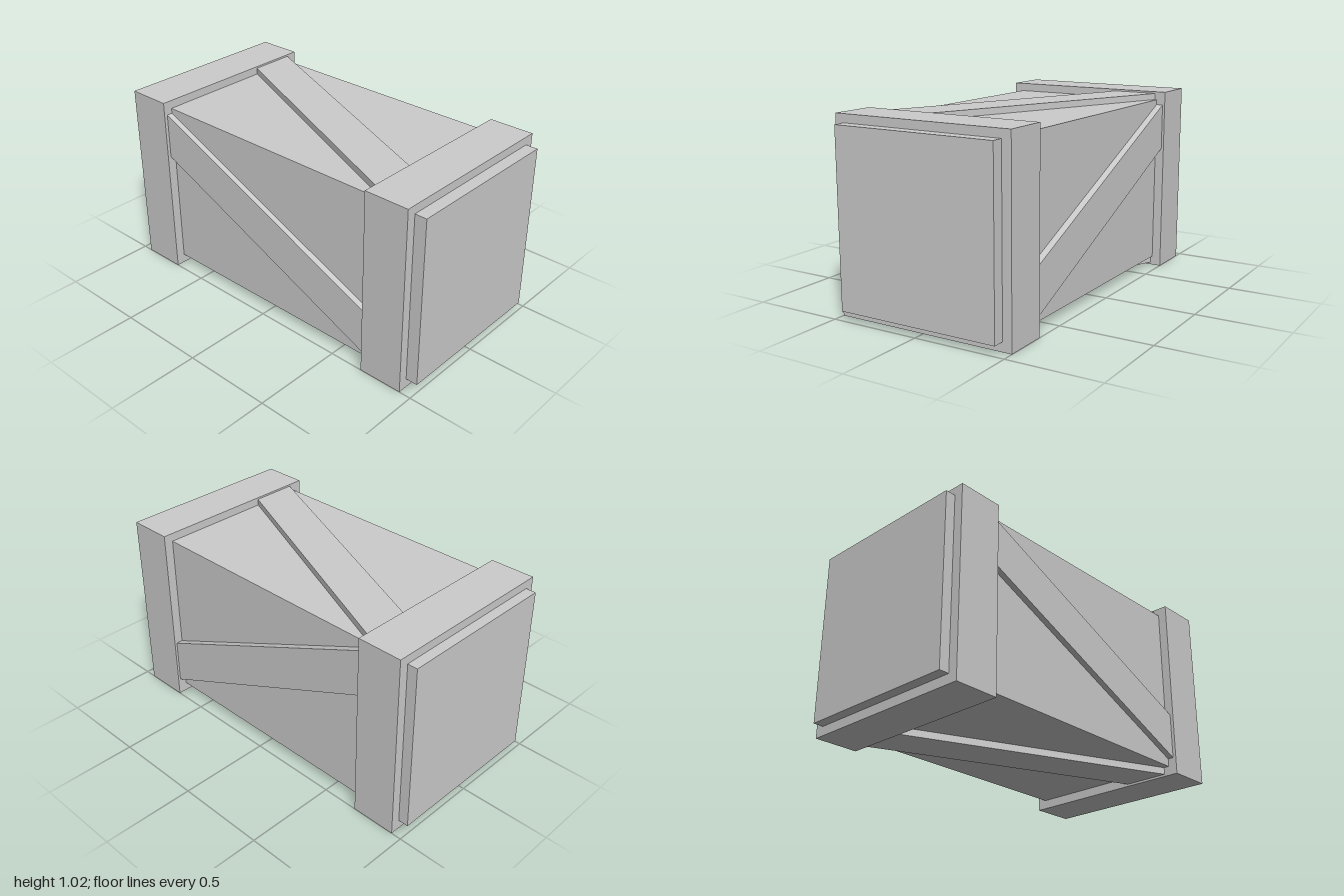
import * as THREE from 'three';

const MID = 0.5125; // height of the crate's centre

export function createModel() {
  const crate = new THREE.Group();
  crate.name = 'crate';
  const grey = new THREE.MeshStandardMaterial({ color: 0xcccccc });
  grey.name = 'light grey';

  function add(name, geometry, x, y, z) {
    const mesh = new THREE.Mesh(geometry, grey);
    mesh.name = name;
    mesh.position.set(x, y, z);
    crate.add(mesh);
    return mesh;
  }

  // Main body
  add('body', new THREE.BoxGeometry(2, 0.93, 0.9), 0, 0.515, 0);

  // Raised bands around both ends
  add('rightBand', new THREE.BoxGeometry(0.245, 1.025, 1), 0.8125, MID, 0);
  add('leftBand', new THREE.BoxGeometry(0.245, 1.025, 1), -0.8225, MID, 0);

  // Diagonal brace outline; its ends are buried in the bands
  const lineY = (x) => 0.133 - 0.437 * x;
  const end = 0.8;
  const outline = new THREE.Shape([
    [-end, lineY(-end) - 0.251],
    [end, lineY(end) - 0.251],
    [end, lineY(end)],
    [-end, lineY(-end)],
  ].map(([x, y]) => new THREE.Vector2(x, y)));
  const depth = 0.06;
  const brace = new THREE.ExtrudeGeometry(outline, { depth, bevelEnabled: false });
  brace.translate(0, 0, -depth / 2);
  const flatBrace = brace.clone().rotateX(-Math.PI / 2);

  // One brace on each long side
  add('frontBrace', brace, 0, MID, 0.452);
  add('backBrace', brace, 0, MID, -0.457);
  add('topBrace', flatBrace, 0, 0.985, 0);
  add('bottomBrace', flatBrace, 0, 0.042, 0);

  return crate;
}
